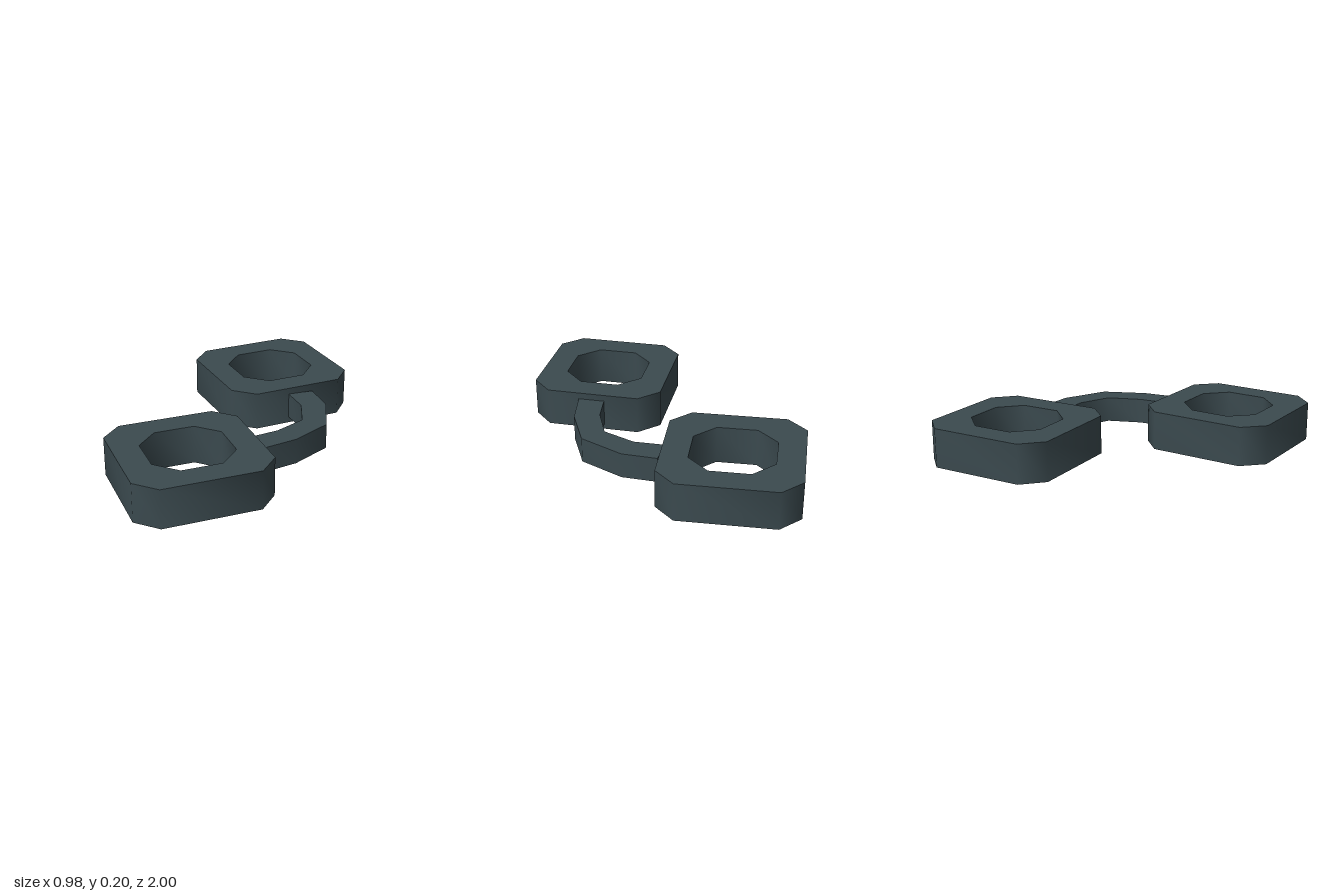
import * as THREE from 'three';
import { toCreasedNormals } from 'three/addons/utils/BufferGeometryUtils.js';

const slate = new THREE.MeshStandardMaterial({ color: 0x3b4a4f });
slate.name = 'darkSlate';

// Square with cut corners: r is the half width, f the half length of each flat side
function octagon(r, f) {
  return [[f, r], [-f, r], [-r, f], [-r, -f], [-f, -r], [f, -r], [r, -f], [r, f]]
    .map(([x, y]) => new THREE.Vector2(x, y));
}

// Upright slab from a plan outline (shape y is -z), walls smoothed around their bends
function slab(name, shape, y0, y1) {
  const geometry = new THREE.ExtrudeGeometry(shape, { depth: y1 - y0, bevelEnabled: false });
  geometry.rotateX(-Math.PI / 2);
  geometry.translate(0, y0, 0);
  const mesh = new THREE.Mesh(toCreasedNormals(geometry, Math.PI / 3), slate);
  mesh.name = name;
  return mesh;
}

function ring(name, x, z, turn) {
  const shape = new THREE.Shape(octagon(0.427, 0.074));
  shape.holes.push(new THREE.Path(octagon(0.225, 0.077)));
  const mesh = slab(name, shape, 0, 0.205);
  mesh.position.set(x, 0, z);
  mesh.rotation.y = turn;
  return mesh;
}

export function createModel() {
  const group = new THREE.Group();
  group.name = 'linkedCuffs';

  // Two cuffs, the rear one slightly turned
  group.add(ring('frontCuff', -0.02, 0.573, 0));
  group.add(ring('backCuff', -0.06, -0.573, 0.06));

  // Bent bar joining the cuffs, given as [x, z] along its outer and inner edge
  const outer = [[0.268, -0.39], [0.395, -0.255], [0.485, -0.015], [0.405, 0.21], [0.285, 0.378]];
  const inner = [[0.165, -0.297], [0.28, -0.185], [0.35, -0.015], [0.28, 0.155], [0.185, 0.277]];
  const outline = [...outer, ...inner.reverse()].map(([x, z]) => new THREE.Vector2(x, -z));
  group.add(slab('connectingBar', new THREE.Shape(outline), 0.035, 0.17));

  return group;
}
